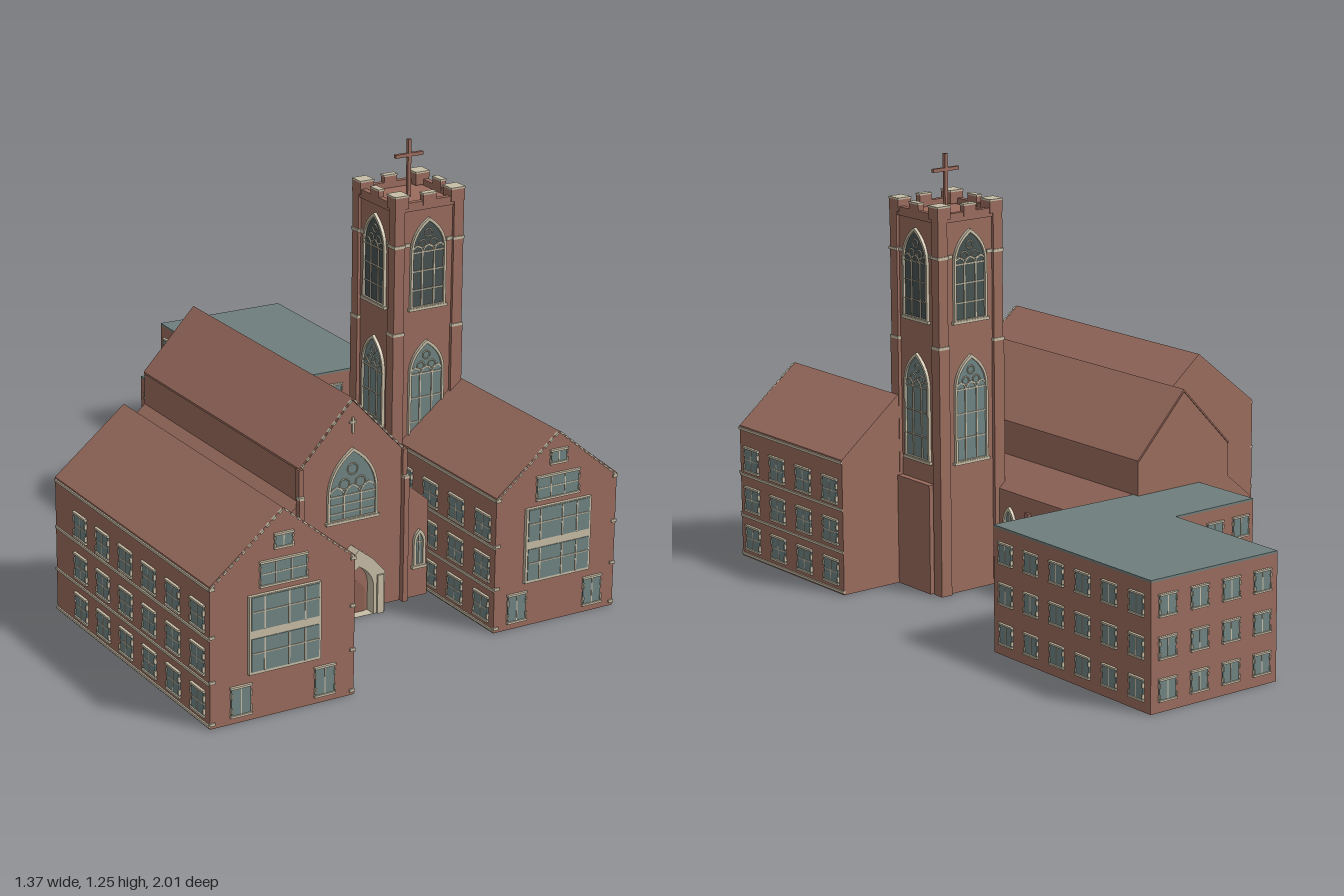
import * as THREE from 'three';

const mat = (name, color) => Object.assign(new THREE.MeshStandardMaterial({ color }), { name });
const M = {
  brick: mat('brick', 0x9b6c5e), roof: mat('roofTile', 0x9e6f61), stone: mat('paleStone', 0xc8bea7),
  glass: mat('glass', 0x6f8483), dark: mat('darkGlass', 0x465250), slate: mat('slateRoof', 0x6f7f7c),
  door: mat('door', 0x8b5f52),
};

function add(parent, name, geo, m, x = 0, y = 0, z = 0) {
  const mesh = new THREE.Mesh(geo, m);
  mesh.name = name;
  mesh.position.set(x, y, z);
  parent.add(mesh);
  return mesh;
}
const box = (p, name, m, w, h, d, x, y, z) => add(p, name, new THREE.BoxGeometry(w, h, d), m, x, y, z);
// box given by its limits
const block = (p, name, m, x0, x1, y0, y1, z0, z1) =>
  box(p, name, m, x1 - x0, y1 - y0, z1 - z0, (x0 + x1) / 2, (y0 + y1) / 2, (z0 + z1) / 2);
const poly = (pts) => new THREE.Shape(pts.map(([x, y]) => new THREE.Vector2(x, y)));
const extrude = (shape, depth) => new THREE.ExtrudeGeometry(shape, { depth, bevelEnabled: false, curveSegments: 8 });

// group on a wall; its local +z points out of the wall
function onWall(p, name, x, y, z, ry = 0) {
  const g = new THREE.Group();
  g.name = name;
  g.position.set(x, y, z);
  g.rotation.y = ry;
  p.add(g);
  return g;
}

// pointed arch outline, bottom at y = 0
function arch(a, h, s, y0 = 0) {
  const c = s + (h - s) * 0.62, sh = new THREE.Shape();
  sh.moveTo(-a, y0); sh.lineTo(a, y0); sh.lineTo(a, s);
  sh.quadraticCurveTo(a, c, 0, h);
  sh.quadraticCurveTo(-a, c, -a, s);
  sh.closePath();
  return sh;
}

// tracery window with frame, mullions and roundels
function gothic(p, name, w, h, m, x, y, z, ry, rich = true) {
  const g = onWall(p, name, x, y, z, ry), a = w / 2, t = rich ? 0.007 : 0.008, s = h - w * (rich ? 0.85 : 1);
  const frame = arch(a, h, s);
  frame.holes.push(arch(a - t, h - t * 1.5, s, t));
  add(g, 'frame', extrude(frame, 0.009), M.stone);
  add(g, 'pane', extrude(arch(a - t / 2, h - t, s), 0.003), m);
  box(g, 'sill', M.stone, w + 0.01, 0.008, 0.012, 0, 0, 0.005);
  if (!rich) {
    box(g, 'mullion', M.stone, 0.003, h * 0.85, 0.005, 0, h * 0.45, 0.003);
    box(g, 'transom', M.stone, w - t, 0.003, 0.005, 0, s, 0.003);
    return;
  }
  for (const k of [-1, 1]) {
    box(g, 'mullion', M.stone, 0.004, s, 0.006, k * w * 0.17, s / 2, 0.003);
    add(g, 'roundel', new THREE.TorusGeometry(w * 0.1, 0.0022, 4, 14), M.stone, k * w * 0.16, s + w * 0.2, 0.004);
  }
  add(g, 'topRoundel', new THREE.TorusGeometry(w * 0.1, 0.0022, 4, 14), M.stone, 0, s + w * 0.46, 0.004);
  for (let i = 1; i <= 3; i++) box(g, 'transom', M.stone, w - t, 0.003, 0.006, 0, s * i / 3, 0.003);
  for (const k of [-1, 0, 1]) {
    const light = arch(w * 0.16, w * 0.2, 0.002);
    light.holes.push(arch(w * 0.16 - 0.003, w * 0.2 - 0.004, 0.002, 0.001));
    add(g, 'lightArch', extrude(light, 0.006), M.stone, k * w * 0.32, s - 0.002, 0);
  }
}

// rectangular window with bars and stone sill and lintel
function pane(p, w, h, cols, rows, x, y, z, ry = 0, edge = 0.006) {
  const g = onWall(p, 'window', x, y, z, ry);
  box(g, 'pane', M.glass, w, h, 0.006, 0, 0, 0.001);
  for (const k of [-1, 1]) {
    box(g, 'sillAndLintel', M.stone, w + edge, edge, 0.01, 0, k * h / 2, 0.003);
    box(g, 'jambStone', M.stone, edge * 0.8, h * 0.2, 0.009, k * w / 2, h * 0.22, 0.003);
    box(g, 'jambStone', M.stone, edge * 0.8, h * 0.2, 0.009, k * w / 2, -h * 0.3, 0.003);
  }
  for (let i = 1; i < cols; i++) box(g, 'bar', M.stone, 0.003, h, 0.006, w * (i / cols - 0.5), 0, 0.002);
  for (let i = 1; i < rows; i++) box(g, 'bar', M.stone, w, 0.003, 0.006, 0, h * (i / rows - 0.5), 0.002);
}

// thin roof plate along z, lying on the line (x0,y0)-(x1,y1)
function slope(p, x0, y0, x1, y1, z0, z1) {
  add(p, 'roofSlope', extrude(poly(x0 < x1 ? [[x0, y0], [x1, y1], [x1, y1 + 0.006], [x0, y0 + 0.006]]
    : [[x1, y1], [x0, y0], [x0, y0 + 0.006], [x1, y1 + 0.006]]), z1 - z0), M.roof, 0, 0, z0);
}

// stepped pale stones along both rakes of a front gable
function rakeStones(p, cx, half, eave, ridge, z, n) {
  for (const k of [-1, 1]) for (let i = 0; i < n; i++) {
    const t = (i + 0.5) / n;
    const s = box(p, 'rakeStone', M.stone, 0.013, 0.005, 0.008, cx + k * half * (1 - t), eave + (ridge - eave) * t - 0.001, z);
    s.rotation.z = -k * Math.atan2(ridge - eave, half);
  }
}

// gabled three-storey wing facing +z
function wing(root, name, cx, half, ridge, z0, z1, cols) {
  const g = new THREE.Group(), eave = 0.39;
  g.name = name;
  root.add(g);
  add(g, 'walls', extrude(poly([[cx - half, 0], [cx + half, 0], [cx + half, eave], [cx, ridge - 0.006], [cx - half, eave]]), z1 - z0), M.brick, 0, 0, z0);
  for (const k of [-1, 1]) {
    const x = cx + k * half;
    slope(g, x, eave, cx, ridge - 0.006, z0, z1);
    for (const y of [0.008, 0.125, 0.25, 0.388])
      box(g, 'stringCourse', M.stone, 0.008, 0.007, z1 - z0, x, y, (z0 + z1) / 2);
    for (const y of [0.013, 0.13, 0.255, 0.388]) box(g, 'quoin', M.stone, 0.016, 0.008, 0.008, x - k * 0.006, y, z1);
    for (const y of [0.062, 0.18, 0.3]) for (let i = 0; i < cols; i++)
      pane(g, 0.068, 0.07, 2, 2, x, y, z1 - 0.06 - i * 0.132, k * Math.PI / 2);
    pane(g, 0.058, 0.08, 2, 1, cx + k * 0.125, 0.062, z1);
  }
  rakeStones(g, cx, half, eave, ridge, z1, 12);
  // projecting bay of two window bands
  box(g, 'bay', M.stone, 0.214, 0.218, 0.012, cx + 0.002, 0.239, z1 + 0.004);
  for (const y of [0.184, 0.299]) {
    box(g, 'bayGlass', M.glass, 0.2, 0.092, 0.004, cx + 0.002, y, z1 + 0.01);
    for (const x of [-0.06, 0.012, 0.06]) box(g, 'bayBar', M.stone, 0.004, 0.092, 0.004, cx + x, y, z1 + 0.012);
    box(g, 'bayBar', M.stone, 0.2, 0.003, 0.004, cx + 0.002, y + 0.005, z1 + 0.012);
  }
  pane(g, 0.137, 0.066, 3, 2, cx, 0.4, z1);
  pane(g, 0.052, 0.037, 2, 1, cx, 0.484, z1);
}

function nave(root) {
  const g = new THREE.Group(), cx = 0.02, z0 = -0.375, z1 = 0.525;
  g.name = 'nave';
  root.add(g);
  const side = [[0.25, 0], [0.25, 0.278], [0.165, 0.35], [0.165, 0.45]];
  add(g, 'walls', extrude(poly([...side.map(([x, y]) => [cx + x, y]), [cx, 0.624], ...side.reverse().map(([x, y]) => [cx - x, y])]), z1 - z0), M.brick, 0, 0, z0);
  for (const k of [-1, 1]) {
    slope(g, cx + k * 0.167, 0.45, cx, 0.626, z0, z1);
    slope(g, cx + k * 0.25, 0.278, cx + k * 0.165, 0.35, z0, z1);
    // front buttresses and aisle lancets
    block(g, 'buttress', M.brick, cx + k * 0.168 - 0.008, cx + k * 0.168 + 0.008, 0, 0.37, z1, z1 + 0.018);
    box(g, 'buttressCap', M.stone, 0.018, 0.008, 0.02, cx + k * 0.168, 0.374, z1 + 0.009);
    box(g, 'shoulder', M.brick, 0.014, 0.09, 0.02, cx + k * 0.166, 0.41, z1);
    gothic(g, 'aisleLancet', 0.038, 0.112, M.glass, cx + k * 0.22, 0.092, z1, 0, false);
    for (const z of [0.085, -0.085, -0.25])
      gothic(g, 'sideLancet', 0.052, 0.155, M.glass, cx + k * 0.25, 0.085, z, k * Math.PI / 2, false);
    for (const z of [0, -0.168, -0.335]) box(g, 'sideButtress', M.brick, 0.02, 0.24, 0.016, cx + k * 0.25, 0.12, z);
  }
  rakeStones(g, cx, 0.165, 0.455, 0.63, z1, 10);
  gothic(g, 'greatWindow', 0.16, 0.212, M.glass, cx, 0.277, z1, 0);
  box(g, 'gableCross', M.stone, 0.006, 0.045, 0.008, cx, 0.553, z1 + 0.002);
  box(g, 'gableCross', M.stone, 0.022, 0.006, 0.008, cx, 0.562, z1 + 0.002);
  // gabled stone portal with arched doorway
  const portal = poly([[-0.083, 0], [0.083, 0], [0.083, 0.122], [0.045, 0.165], [0, 0.2], [-0.045, 0.165], [-0.083, 0.122]]);
  portal.holes.push(arch(0.047, 0.15, 0.08, 0.0005));
  add(g, 'portal', extrude(portal, 0.045), M.stone, cx, 0, z1);
  add(g, 'doorRecess', extrude(arch(0.05, 0.152, 0.08), 0.012), M.brick, cx, 0, z1);
  add(g, 'door', extrude(arch(0.037, 0.1, 0.055), 0.004), M.door, cx, 0, z1 + 0.011);
  for (const k of [-1, 1]) box(g, 'portalPier', M.stone, 0.02, 0.115, 0.05, cx + k * 0.067, 0.0575, z1 + 0.026);
  // link to the long wing
  block(g, 'link', M.brick, -0.26, -0.22, 0, 0.272, 0.12, 0.515);
}

function tower(root) {
  const g = onWall(root, 'tower', 0.363, 0, 0.25);
  block(g, 'core', M.brick, -0.104, 0.104, 0, 1.08, -0.104, 0.104);
  block(g, 'lowBase', M.brick, -0.1, 0.122, 0, 0.32, -0.07, 0.09);
  for (const x of [-1, 1]) for (const z of [-1, 1]) {
    box(g, 'cornerPier', M.brick, 0.036, 0.72, 0.036, x * 0.0965, 0.36, z * 0.0965);
    box(g, 'upperPier', M.brick, 0.032, 0.38, 0.032, x * 0.0965, 0.905, z * 0.0965);
    for (const y of [0.72, 0.975]) box(g, 'pierBand', M.stone, 0.038, 0.008, 0.038, x * 0.0965, y, z * 0.0965);
    box(g, 'cornerMerlon', M.brick, 0.044, 0.035, 0.044, x * 0.0915, 1.1, z * 0.0915);
    box(g, 'merlonCap', M.stone, 0.046, 0.005, 0.046, x * 0.0915, 1.119, z * 0.0915);
  }
  for (let i = 0; i < 4; i++) {
    const s = onWall(g, 'towerFace', 0, 0, 0, i * Math.PI / 2);
    gothic(s, 'lowerWindow', 0.115, 0.31, M.glass, 0, 0.38, 0.104, 0);
    gothic(s, 'belfryWindow', 0.115, 0.262, M.dark, 0, 0.786, 0.104, 0);
    for (const k of [-1, 1]) box(s, 'hoodStop', M.stone, 0.02, 0.01, 0.008, k * 0.07, 0.975, 0.105);
    box(s, 'parapet', M.brick, 0.19, 0.025, 0.016, 0, 1.085, 0.102);
    box(s, 'merlon', M.brick, 0.042, 0.03, 0.018, 0, 1.1, 0.102);
    box(s, 'merlonCap', M.stone, 0.044, 0.005, 0.02, 0, 1.117, 0.102);
  }
  box(g, 'crossPost', M.brick, 0.01, 0.165, 0.01, 0, 1.1625, 0);
  box(g, 'crossArm', M.brick, 0.09, 0.01, 0.01, 0, 1.2, 0);
}

function rearBlock(root) {
  const g = new THREE.Group();
  g.name = 'rearBlock';
  root.add(g);
  // plan corners as (x, -z), counter-clockwise
  const plan = [[-0.038, 0.375], [0.66, 0.34], [0.665, 0.99], [0.243, 1], [0.238, 0.592], [-0.043, 0.592]];
  plan[0][1] = 0.36;
  const walls = add(g, 'walls', extrude(poly(plan), 0.35), M.brick);
  const top = add(g, 'flatRoof', extrude(poly(plan), 0.006), M.slate, 0, 0.35, 0);
  walls.rotation.x = top.rotation.x = -Math.PI / 2;
  // window rows on each exposed wall
  const counts = [6, 6, 4, 4, 3, 2];
  plan.forEach(([x0, b0], e) => {
    const [x1, b1] = plan[(e + 1) % 6], n = counts[e];
    const ry = Math.atan2(b1 - b0, x1 - x0);
    for (let i = 0; i < n; i++) {
      const t = (i + 0.5) / n, x = x0 + (x1 - x0) * t, z = -(b0 + (b1 - b0) * t);
      if (e === 0 && x < 0.28) continue;
      for (const y of [0.06, 0.172, 0.285]) pane(g, 0.054, 0.056, 2, 1, x, y, z, ry, 0.005);
    }
  });
}

export function createModel() {
  const root = new THREE.Group();
  root.name = 'church';
  wing(root, 'longWing', -0.465, 0.215, 0.57, 0.112, 0.985, 6);
  wing(root, 'shortWing', 0.48, 0.198, 0.555, 0.33, 0.845, 4);
  nave(root);
  tower(root);
  rearBlock(root);
  return root;
}
